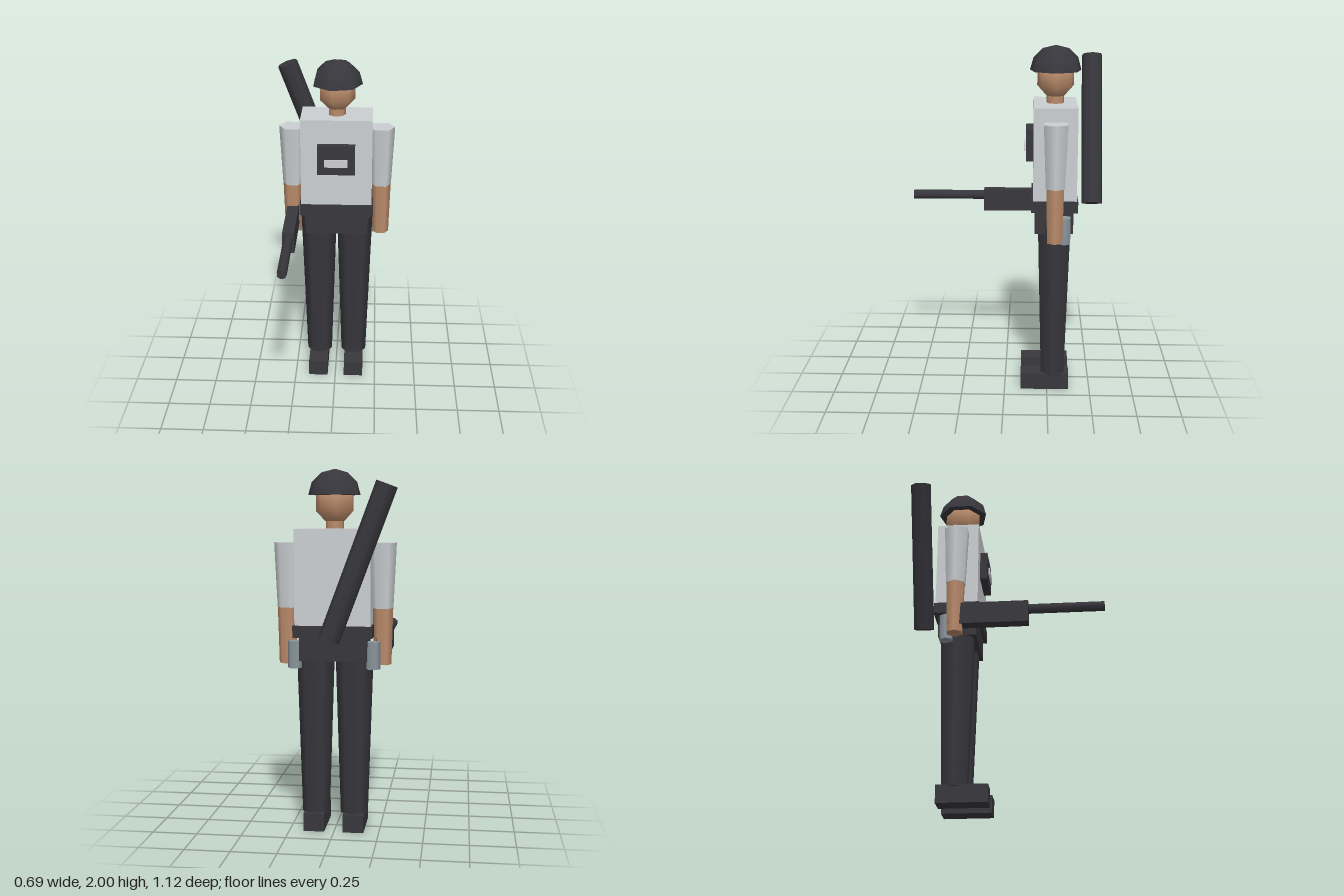
import * as THREE from 'three';

const mat = (name, color) => {
  const m = new THREE.MeshStandardMaterial({ color });
  m.name = name;
  return m;
};

export function createModel() {
  const dark = mat('charcoal', 0x38373d);
  const shirt = mat('pale grey shirt', 0xcbcfd2);
  const skin = mat('skin', 0xbd8d6c);
  const steel = mat('steel grey', 0x8d979f);
  const screen = mat('screen', 0xd0cdd2);

  const model = new THREE.Group();
  model.name = 'soldier';
  const body = new THREE.Group();
  body.name = 'body';
  body.position.x = 0.003;
  model.add(body);

  const Z = -0.281; // depth of the body's upright axis

  const add = (name, geometry, material, x = 0, y = 0, z = 0) => {
    const mesh = new THREE.Mesh(geometry, material);
    mesh.name = name;
    mesh.position.set(x, y, z);
    body.add(mesh);
    return mesh;
  };
  // box given by its lower and upper limits on y and z
  const box = (name, m, x, w, y0, y1, z0, z1) =>
    add(name, new THREE.BoxGeometry(w, y1 - y0, z1 - z0), m, x, (y0 + y1) / 2, (z0 + z1) / 2);
  // upright prism with a corner on the x axis
  const prism = (rTop, rBottom, h, sides) =>
    new THREE.CylinderGeometry(rTop, rBottom, h, sides, 1, false, Math.PI / 2);
  const post = (name, m, x, z, rTop, rBottom, y0, y1, sides = 6) =>
    add(name, prism(rTop, rBottom, y1 - y0, sides), m, x, (y0 + y1) / 2, z);
  const lathe = (points) => new THREE.LatheGeometry(
    points.map(([r, y]) => new THREE.Vector2(r, y)), 7, Math.PI / 2);

  // torso and waist
  box('torso', shirt, 0, 0.414, 1.15, 1.68, -0.403, -0.16);
  box('belt', dark, 0, 0.434, 1.095, 1.16, -0.411, -0.15);
  box('hips', dark, 0, 0.37, 0.965, 1.1, -0.387, -0.17);

  // chest unit
  box('chestUnit', dark, 0, 0.217, 1.365, 1.54, -0.17, -0.118);
  box('chestScreen', screen, 0, 0.134, 1.415, 1.46, -0.115, -0.107);

  // limbs, mirrored
  for (const [side, s] of [['left', 1], ['right', -1]]) {
    box(side + 'Boot', dark, s * 0.11, 0.117, 0, 0.1, -0.376, -0.095);
    post(side + 'Leg', dark, s * 0.108, Z, 0.107, 0.077, 0.09, 1.04);
    post(side + 'Sleeve', shirt, s * 0.261, Z, 0.076, 0.06, 1.25, 1.605);
    post(side + 'Forearm', skin, s * 0.264, Z, 0.056, 0.048, 0.94, 1.255);
    post(side + 'Canister', steel, s * 0.215, -0.335, 0.04, 0.04, 0.92, 1.07);
  }

  // head
  post('neck', skin, 0, Z, 0.05, 0.05, 1.66, 1.77, 7);
  add('head', lathe([[0, 1.71], [0.055, 1.722], [0.105, 1.775], [0.105, 1.86], [0.065, 1.92], [0, 1.94]]),
    skin, 0, 0, Z);

  // helmet dome with a closed underside
  const dome = [0, 30, 60, 90].map((d) => {
    const a = THREE.MathUtils.degToRad(d);
    return [0.147 * Math.cos(a), 1.86 + 0.14 * Math.sin(a)];
  });
  add('helmet', lathe(dome), dark, 0, 0, Z);
  add('helmetUnderside', new THREE.CircleGeometry(0.147, 7).rotateX(Math.PI / 2), dark, 0, 1.86, Z);

  // rifle held in the right hand
  box('rifleBody', dark, -0.262, 0.068, 0.985, 1.113, -0.312, 0.135);
  add('rifleBarrel', prism(0.028, 0.028, 0.435, 7).rotateX(Math.PI / 2), dark, -0.261, 1.075, 0.3425);

  // long tube slung slantwise behind the back
  const tube = add('backTube', prism(0.061, 0.061, 0.87, 7), dark, -0.149, 1.506, -0.499);
  tube.rotation.z = THREE.MathUtils.degToRad(20.4);

  return model;
}
